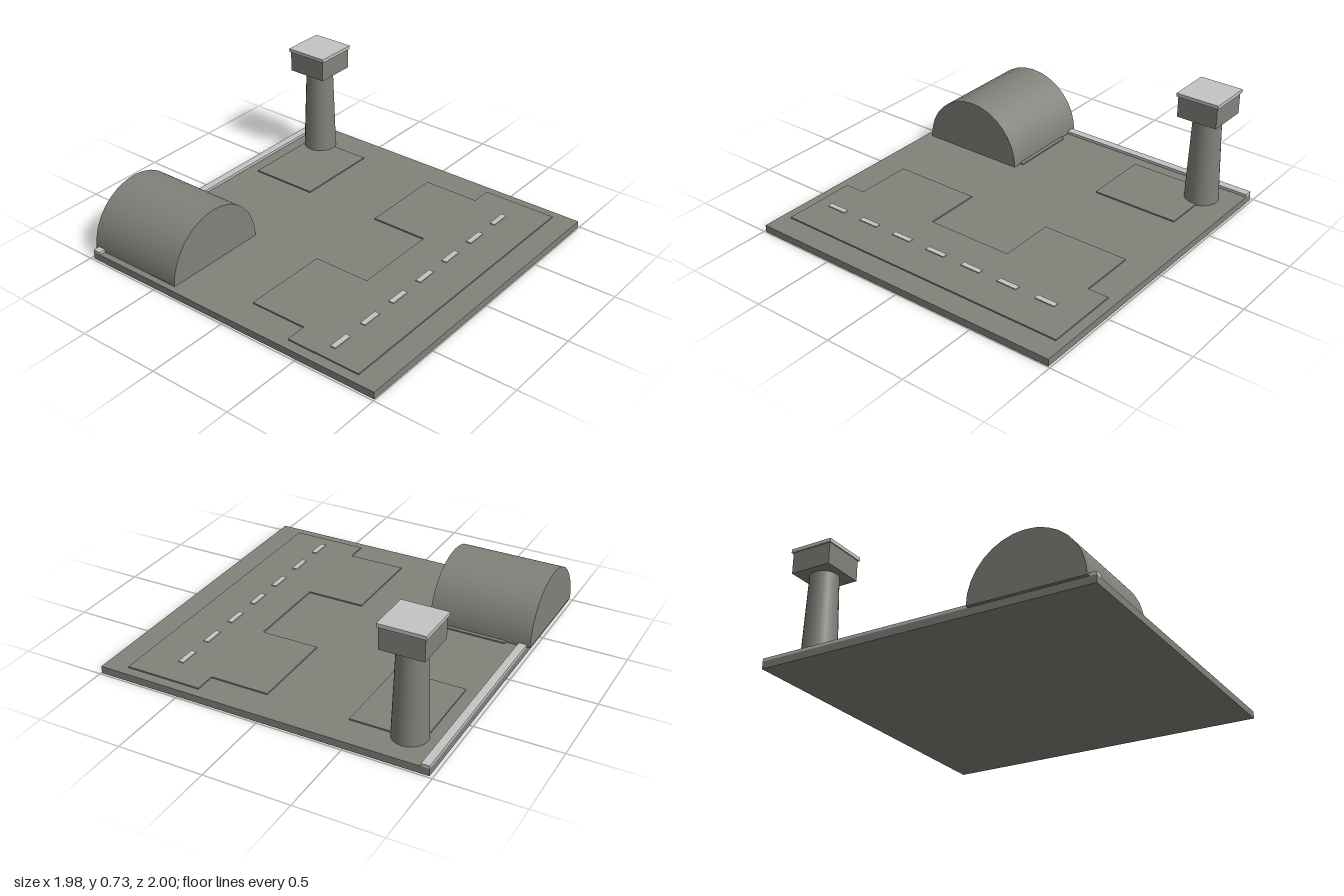
import * as THREE from 'three';

export function createModel() {
  const group = new THREE.Group();
  const concrete = new THREE.MeshStandardMaterial({ color: 0x82827b });
  concrete.name = 'concrete grey';
  const pale = new THREE.MeshStandardMaterial({ color: 0xc4c4c4 });
  pale.name = 'pale grey';

  const add = (name, geometry, material) => {
    const mesh = new THREE.Mesh(geometry, material);
    mesh.name = name;
    group.add(mesh);
    return mesh;
  };
  // Box given by its extents along each axis
  const box = (name, material, [x0, x1], [y0, y1], [z0, z1]) =>
    add(name, new THREE.BoxGeometry(x1 - x0, y1 - y0, z1 - z0), material)
      .position.set((x0 + x1) / 2, (y0 + y1) / 2, (z0 + z1) / 2);

  const ground = 0.043, paved = 0.051;

  // Ground slab and the kerb along its back edge
  box('groundSlab', concrete, [-0.988, 0.988], [0, ground], [-0.98, 0.995]);
  box('backKerb', pale, [-0.988, 0.988], [ground, 0.06], [-0.98, -0.932]);

  // Runway with its dashed centre line
  box('runway', concrete, [-0.93, 0.93], [ground, paved], [0.4, 0.855]);
  for (let i = 0; i < 7; i++) {
    const x = -0.783 + i * 0.247;
    box('runwayDash', pale, [x - 0.063, x + 0.063], [paved, 0.057], [0.61, 0.642]);
  }

  // Parking pads, two beside the runway and two at the back
  for (const side of [-1, 1]) {
    const xs = side < 0 ? [-0.803, -0.268] : [0.268, 0.803];
    box('frontPad', concrete, xs, [ground, paved], [0.05, 0.4]);
    box('backPad', concrete, xs, [ground, paved], [-0.857, -0.44]);
  }

  // Half-round hangar
  const hangar = new THREE.CylinderGeometry(0.33, 0.33, 0.615, 16, 1, false, Math.PI / 2, Math.PI);
  hangar.rotateX(Math.PI / 2);
  add('hangar', hangar, concrete).position.set(-0.62, ground, -0.6925);
  box('hangarFloor', concrete, [-0.95, -0.29], [ground, ground + 0.004], [-1, -0.385]);

  // Control tower: tapered shaft, square cab, flat roof
  const tx = 0.78, tz = -0.775;
  const around = (c, half) => [c - half, c + half];
  add('towerShaft', new THREE.CylinderGeometry(0.082, 0.101, 0.537, 20), concrete)
    .position.set(tx, ground + 0.2685, tz);
  box('towerCab', concrete, around(tx, 0.125), [0.58, 0.707], around(tz, 0.125));
  box('towerRoof', pale, around(tx, 0.133), [0.707, 0.728], around(tz, 0.133));

  return group;
}
